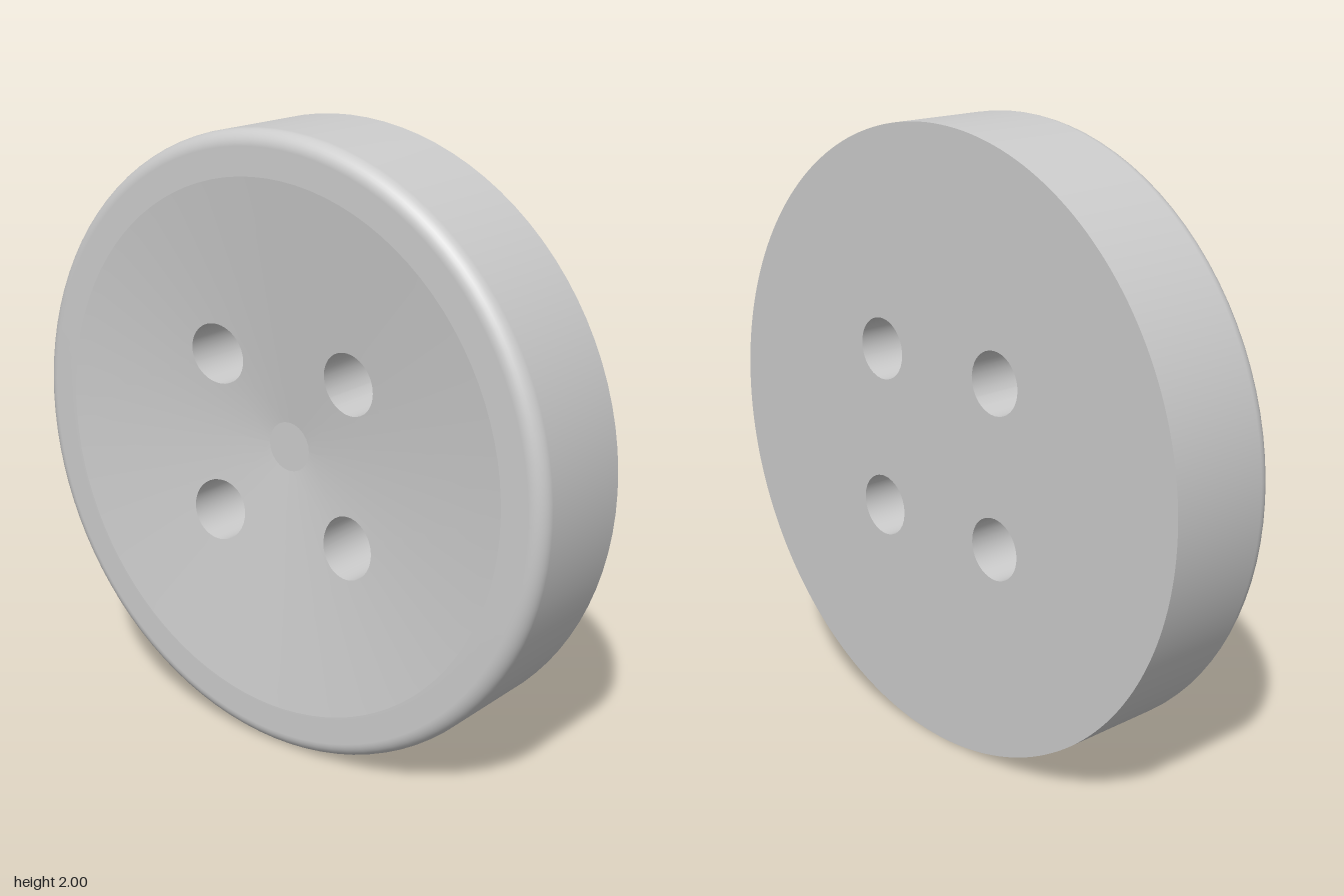
import * as THREE from 'three';

const R = 1, HALF = 0.2, FILLET = 0.05;              // disc radius, half thickness, rounded edge
const DISH_R = 0.86, FLAT_R = 0.08, DEPTH = 0.1;     // shallow conical dish with a small flat centre
const HOLE_AT = 0.263, HOLE_R = 0.1;                 // four thread holes
const SEG = 96, QUARTER = SEG / 4;

// Height of the dished front at distance r from the axis
const dishZ = (r) => HALF - DEPTH * THREE.MathUtils.clamp((DISH_R - r) / (DISH_R - FLAT_R), 0, 1);

// Join closed rings of points into a surface
function loft(rings) {
  const n = rings[0].length, pos = [], index = [];
  rings.forEach((ring) => ring.forEach((p) => pos.push(p.x, p.y, p.z)));
  for (let k = 0; k < rings.length - 1; k++) {
    for (let j = 0; j < n; j++) {
      const a = k * n + j, d = k * n + (j + 1) % n;
      index.push(a, a + n, d + n, a, d + n, d);
    }
  }
  const geo = new THREE.BufferGeometry();
  geo.setAttribute('position', new THREE.Float32BufferAttribute(pos, 3));
  geo.setIndex(index);
  geo.computeVertexNormals();
  return geo;
}

// Outline of a quarter of the dish, counter-clockwise
function quarterOutline() {
  const pts = [], sides = 12, inner = 6;
  const polar = (r, t) => pts.push(new THREE.Vector2(r * Math.cos(t), r * Math.sin(t)));
  const lerp = THREE.MathUtils.lerp;
  for (let i = 0; i < QUARTER; i++) polar(DISH_R, (i / QUARTER) * Math.PI / 2);
  for (let i = 0; i < sides; i++) polar(lerp(DISH_R, FLAT_R, i / sides), Math.PI / 2);
  for (let i = 0; i < inner; i++) polar(FLAT_R, (1 - i / inner) * Math.PI / 2);
  for (let i = 0; i < sides; i++) polar(lerp(FLAT_R, DISH_R, i / sides), 0);
  return pts;
}

export function createModel() {
  const group = new THREE.Group();
  group.name = 'button';
  const material = new THREE.MeshStandardMaterial({ color: 0xcccccc });
  const body = new THREE.Group();
  body.name = 'buttonBody';
  body.position.y = R;
  group.add(body);
  const add = (name, geo) => {
    const mesh = new THREE.Mesh(geo, material);
    mesh.name = name;
    body.add(mesh);
    return mesh;
  };

  // Outer wall, rounded front edge and flat rim
  const profile = [new THREE.Vector2(R, -HALF)];
  for (let i = 0; i <= 8; i++) {
    const t = (i / 8) * Math.PI / 2;
    profile.push(new THREE.Vector2(R - FILLET + FILLET * Math.cos(t), HALF - FILLET + FILLET * Math.sin(t)));
  }
  profile.push(new THREE.Vector2(DISH_R, HALF));
  add('rim', new THREE.LatheGeometry(profile, SEG).rotateX(Math.PI / 2));

  // Dish quarter, spreading from its hole to the quarter's outline
  const centre = new THREE.Vector2(HOLE_AT, HOLE_AT);
  const outline = quarterOutline();
  const hole = outline.map((p) => p.clone().sub(centre).setLength(HOLE_R).add(centre));
  const rings = [];
  for (let k = 0; k <= 10; k++) {
    rings.push(hole.map((h, j) => {
      const p = h.clone().lerp(outline[j], k / 10);
      return new THREE.Vector3(p.x, p.y, dishZ(p.length()));
    }));
  }
  const dishGeo = loft(rings);
  const wallGeo = loft([hole.map((p) => new THREE.Vector3(p.x, p.y, -HALF)), rings[0]]);

  // Back plate outline
  const back = new THREE.Shape().absarc(0, 0, R, 0, Math.PI * 2);
  for (let q = 0; q < 4; q++) {
    const turn = q * Math.PI / 2;
    add('dishQuarter', dishGeo).rotation.z = turn;
    add('holeWall', wallGeo).rotation.z = turn;
    const origin = new THREE.Vector2();
    back.holes.push(new THREE.Path(hole.map((p) => p.clone().rotateAround(origin, turn))));
  }
  add('backFace', new THREE.ShapeGeometry(back, SEG).rotateY(Math.PI).translate(0, 0, -HALF));

  // Flat spot in the middle of the dish
  add('dishCentre', new THREE.CircleGeometry(FLAT_R, 24).translate(0, 0, dishZ(0)));

  return group;
}
